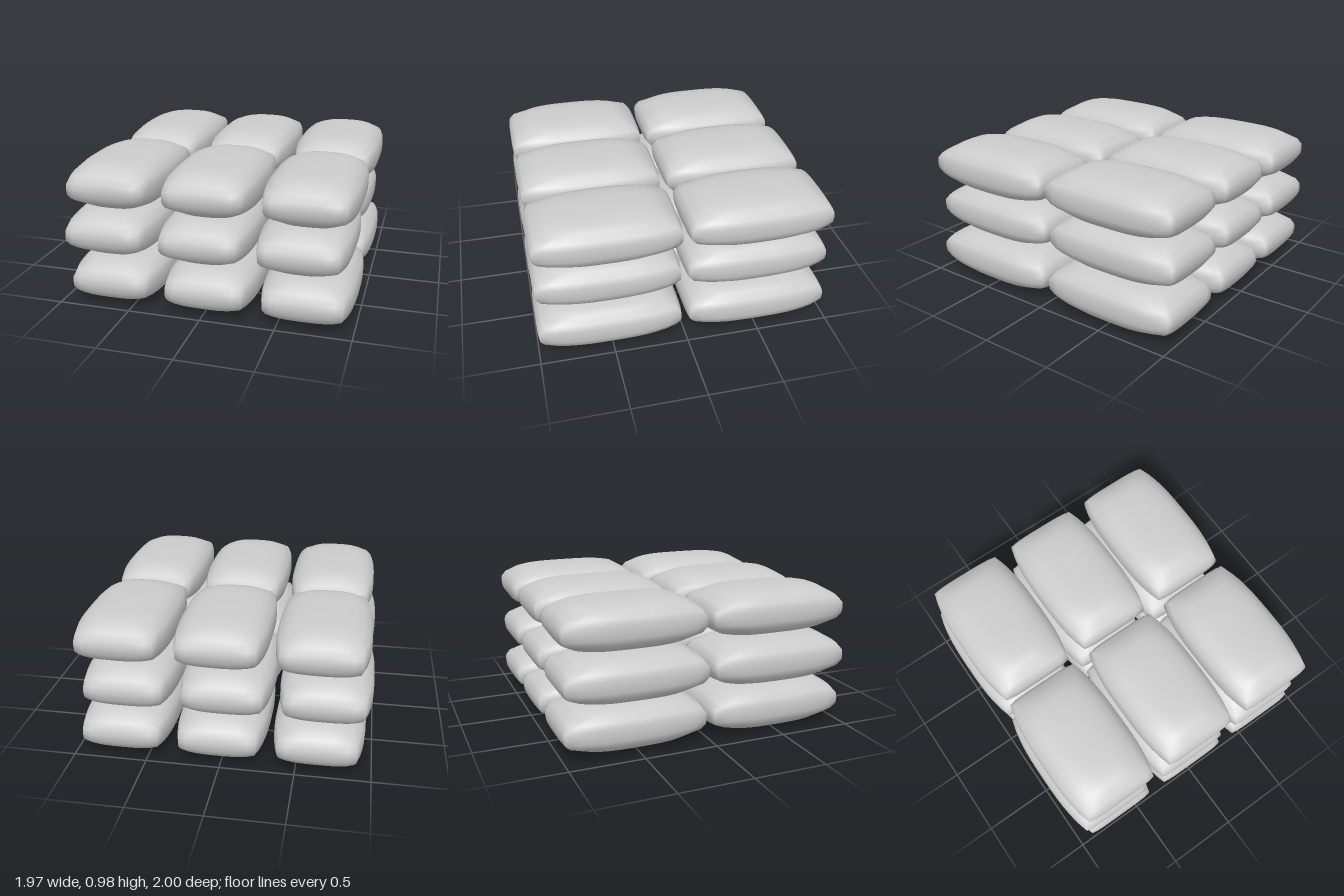
import * as THREE from 'three';
import { mergeVertices } from 'three/addons/utils/BufferGeometryUtils.js';

// One filled sack: a subdivided box with crowned top and bottom, bulging sides and rounded ends
function sackGeometry(halfX, halfY, halfZ) {
  let geo = new THREE.BoxGeometry(2, 2, 2, 10, 6, 12);
  geo.deleteAttribute('uv');
  geo.deleteAttribute('normal');
  geo = mergeVertices(geo, 1e-4);
  const p = geo.attributes.position;
  for (let i = 0; i < p.count; i++) {
    const u = p.getX(i), v = p.getY(i), w = p.getZ(i);
    const au = Math.abs(u), av = Math.abs(v), aw = Math.abs(w);
    // waist tapers toward the ends; rims pull in toward top and bottom
    const x = halfX * u * (1 - 0.165 * aw ** 3) * (1 - 0.19 * av ** 3.5);
    const y = halfY * v * (1 - 0.22 * au ** 3) * (1 - 0.125 * aw ** 4);
    const z = halfZ * w * (1 - 0.245 * av ** 3) * (1 - 0.02 * au ** 6);
    p.setXYZ(i, x, y, z);
  }
  geo.computeVertexNormals();
  return geo;
}

export function createModel() {
  const group = new THREE.Group();
  group.name = 'sackStack';
  const material = new THREE.MeshStandardMaterial({ color: 0xcccccc });
  const geometry = sackGeometry(0.309, 0.162, 0.49);

  // Three layers of three by two sacks; the middle layer is shifted sideways
  for (let layer = 0; layer < 3; layer++) {
    const shift = layer === 1 ? -0.017 : 0.017;
    for (let column = -1; column <= 1; column++) {
      for (const side of [-1, 1]) {
        const sack = new THREE.Mesh(geometry, material);
        sack.name = `sack_layer${layer + 1}_column${column + 2}_${side > 0 ? 'front' : 'back'}`;
        sack.position.set(column * 0.657 + shift, 0.168 + layer * 0.33, side * 0.509);
        group.add(sack);
      }
    }
  }
  return group;
}
